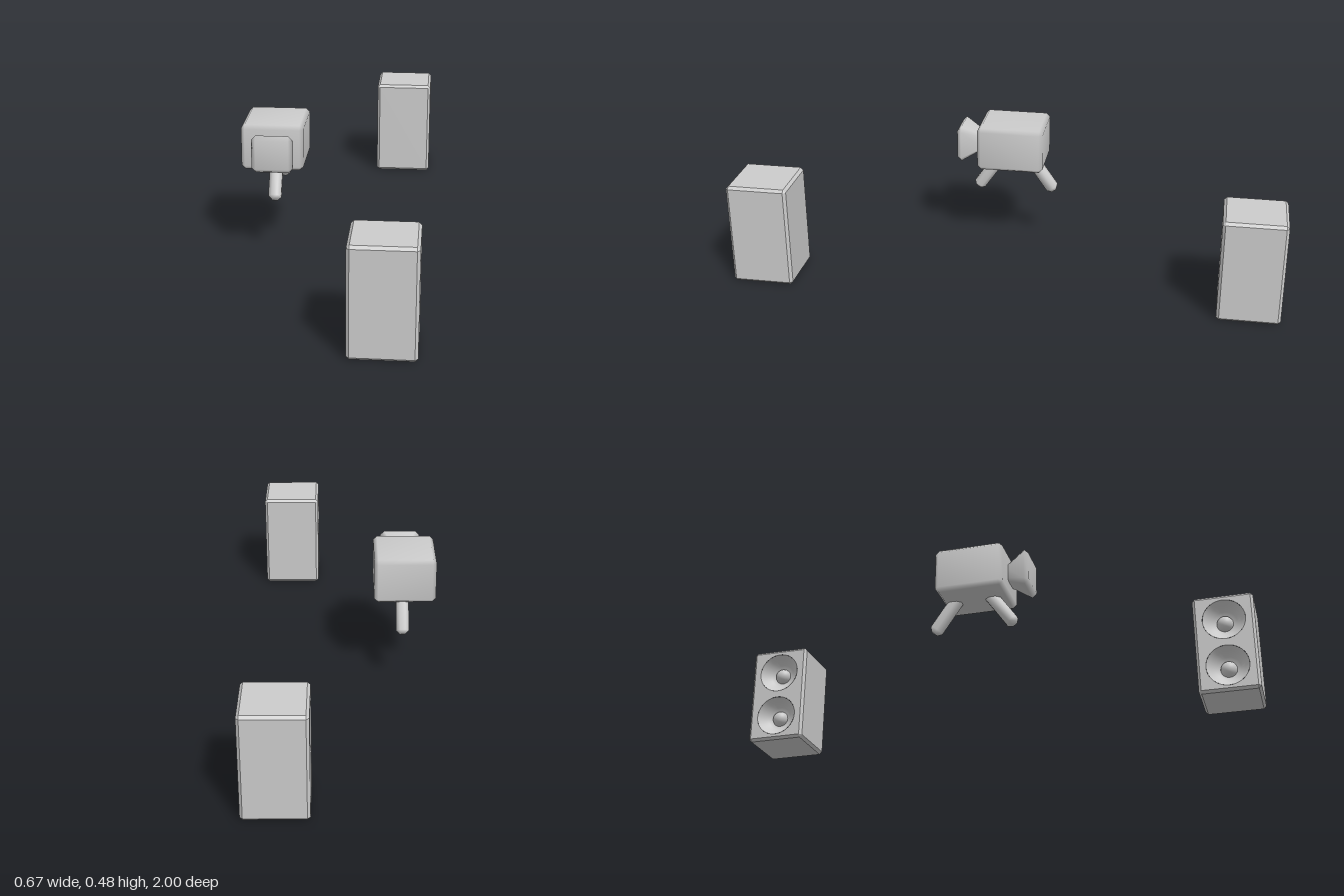
import * as THREE from 'three';
import { mergeVertices } from 'three/addons/utils/BufferGeometryUtils.js';

const flat = new THREE.MeshStandardMaterial({ color: 0xcccccc, flatShading: true });
const smooth = new THREE.MeshStandardMaterial({ color: 0xcccccc });
const thin = new THREE.MeshStandardMaterial({ color: 0xcccccc, side: THREE.DoubleSide });

// Box with chamfered edges, lofted along z; backScale tapers the rear, openFront leaves out the +z cap
function chamferBox(w, h, d, c, { backScale = 1, openFront = false } = {}) {
  const X = w / 2, Y = h / 2, Z = d / 2, x = X - c, y = Y - c;
  const full = [[X, -y], [X, y], [x, Y], [-x, Y], [-X, y], [-X, -y], [-x, -Y], [x, -Y]];
  const inset = full.map(([a, b]) => [Math.sign(a) * x, Math.sign(b) * y]);
  const pos = [], idx = [];
  [[inset, -Z], [full, -Z + c], [full, Z - c], [inset, Z]].forEach(([ring, z], k) => {
    const s = k < 2 ? backScale : 1;
    ring.forEach(([a, b]) => pos.push(a * s, b * s, z));
  });
  for (let k = 0; k < 3; k++) {
    for (let i = 0; i < 8; i++) {
      const a = k * 8 + i, b = k * 8 + (i + 1) % 8;
      idx.push(a, b, b + 8, a, b + 8, a + 8);
    }
  }
  for (let i = 1; i < 7; i++) {
    idx.push(0, i + 1, i);
    if (!openFront) idx.push(24, 24 + i, 25 + i);
  }
  let g = new THREE.BufferGeometry();
  g.setAttribute('position', new THREE.Float32BufferAttribute(pos, 3));
  g.setIndex(idx);
  g = mergeVertices(g);
  g.computeVertexNormals();
  return g;
}

function add(parent, name, geometry, material, x = 0, y = 0, z = 0) {
  const m = new THREE.Mesh(geometry, material);
  m.name = name;
  m.position.set(x, y, z);
  parent.add(m);
  return m;
}

// Loudspeaker with two recessed cones, built facing +z
function makeSpeaker(name) {
  const w = 0.225, h = 0.383, c = 0.01, r = 0.079;
  const g = new THREE.Group();
  g.name = name;
  add(g, 'cabinet', chamferBox(w, h, w, c, { openFront: true }), flat);

  const X = w / 2 - c, Y = h / 2 - c;
  const face = new THREE.Shape([[-X, -Y], [X, -Y], [X, Y], [-X, Y]].map(p => new THREE.Vector2(...p)));
  const profile = [[r, 0], [0.064, -0.02], [0.046, -0.037], [0.026, -0.048], [0, -0.05]];
  const cone = new THREE.LatheGeometry(profile.map(p => new THREE.Vector2(...p)), 32).rotateX(Math.PI / 2);
  const dome = new THREE.SphereGeometry(0.031, 24, 10, 0, Math.PI * 2, 0, Math.PI / 2).rotateX(Math.PI / 2);
  for (const y of [-0.092, 0.092]) {
    face.holes.push(new THREE.Path().absarc(0, y, r, 0, Math.PI * 2, true));
    add(g, 'speakerCone', cone, thin, 0, y, w / 2);
    add(g, 'dustCap', dome, smooth, 0, y, w / 2 - 0.048);
  }
  add(g, 'baffle', new THREE.ShapeGeometry(face, 32), flat, 0, 0, w / 2);
  return g;
}

export function createModel() {
  const model = new THREE.Group();

  // Pair of speakers, cones turned towards -x
  for (const s of [1, -1]) {
    const speaker = makeSpeaker(s > 0 ? 'frontSpeaker' : 'backSpeaker');
    speaker.position.set(0.2225, 0.1915, s * 0.8875);
    speaker.rotation.y = -Math.PI / 2;
    model.add(speaker);
  }

  // Projector: body, flared lens hood and two splayed legs
  const projector = new THREE.Group();
  projector.name = 'projector';
  model.add(projector);
  add(projector, 'body', chamferBox(0.227, 0.168, 0.252, 0.014), smooth, -0.2225, 0.401, 0.037);
  add(projector, 'lensHood', chamferBox(0.15, 0.138, 0.11, 0.016, { backScale: 0.42 }), smooth, -0.213, 0.402, 0.191);
  const legShape = chamferBox(0.047, 0.17, 0.047, 0.0135);
  for (const s of [1, -1]) {
    const leg = add(projector, s > 0 ? 'frontLeg' : 'backLeg', legShape, smooth, -0.2135, 0.278, 0.026 + s * 0.101);
    leg.rotation.x = -s * 0.61;
  }
  return model;
}
